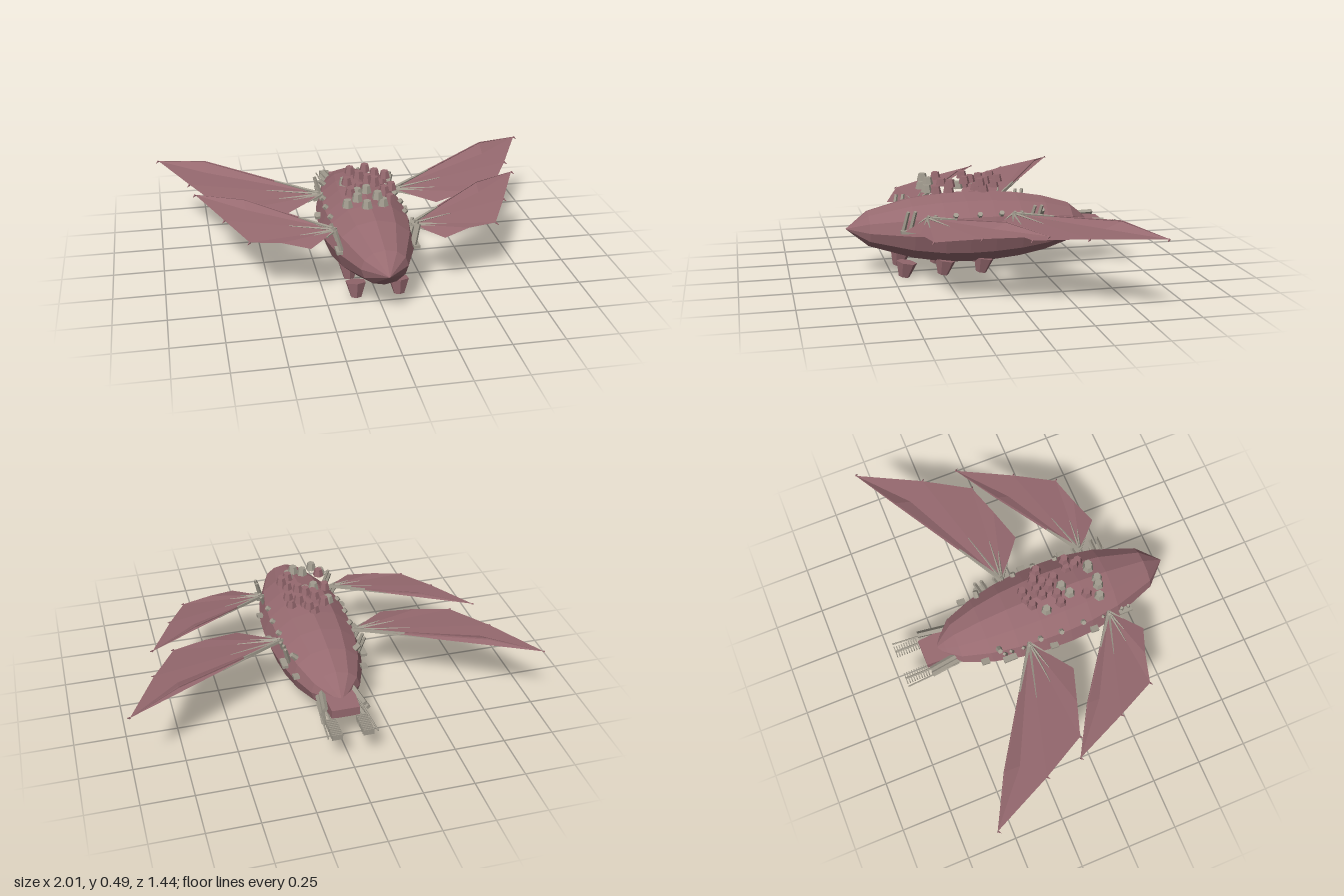
import * as THREE from 'three';

const hide = new THREE.MeshStandardMaterial({ color: 0x976a70, flatShading: true, side: THREE.DoubleSide });
hide.name = 'dusty rose';
const bone = new THREE.MeshStandardMaterial({ color: 0xa29c8f, flatShading: true });
bone.name = 'bone grey';

const V = (p) => new THREE.Vector3(...p);

function add(parent, name, geometry, material, pos = [0, 0, 0], rot = [0, 0, 0]) {
  const m = new THREE.Mesh(geometry, material);
  m.name = name;
  m.position.set(...pos);
  m.rotation.set(...rot);
  parent.add(m);
  return m;
}

// Tapered rod between two points
function rod(parent, name, a, b, r0, r1, material, sides = 5) {
  const from = V(a), dir = V(b).sub(from), len = dir.length();
  const m = add(parent, name, new THREE.CylinderGeometry(r1, r0, len, sides), material);
  m.position.copy(from).addScaledVector(dir, 0.5);
  m.quaternion.setFromUnitVectors(new THREE.Vector3(0, 1, 0), dir.normalize());
  return m;
}

// Fan of triangles around a root, wound to face up
function membrane(root, rim, s) {
  const pos = [];
  for (let i = 0; i < rim.length - 1; i++) {
    const tri = s > 0 ? [root, rim[i], rim[i + 1]] : [root, rim[i + 1], rim[i]];
    tri.forEach((p) => pos.push(p[0] * s, p[1], p[2]));
  }
  const g = new THREE.BufferGeometry();
  g.setAttribute('position', new THREE.Float32BufferAttribute(pos, 3));
  g.computeVertexNormals();
  return g;
}

// Wing outlines for the left side: forward edge, fingertips, tip, raised rear edge
const wings = [
  { name: 'frontWing', root: [0.18, 0.325, 0.34],
    rim: [[0.32, 0.3, 0.47], [0.45, 0.318, 0.42], [0.595, 0.315, 0.38], [0.695, 0.345, 0.18],
      [0.82, 0.373, -0.09]], inner: [0.585, 0.36, 0.11], peak: [0.59, 0.388, 0.045] },
  { name: 'rearWing', root: [0.18, 0.325, -0.09],
    rim: [[0.38, 0.303, 0.065], [0.55, 0.325, 0.01], [0.715, 0.33, -0.045], [0.84, 0.355, -0.27],
      [0.99, 0.375, -0.58]], inner: [0.745, 0.372, -0.37], peak: [0.75, 0.405, -0.45] },
];

function buildWing(w, s) {
  const g = new THREE.Group();
  g.name = w.name + (s > 0 ? 'Left' : 'Right');
  const mir = (p) => [p[0] * s, p[1], p[2]];
  const tip = w.rim[4];
  add(g, 'wingMembrane', membrane(w.root, [...w.rim, w.inner], s), hide);
  add(g, 'wingFold', membrane(w.peak, [w.root, w.inner, tip], s), hide);
  // finger bones fade into the membrane, each ending in a small claw
  w.rim.forEach((p, i) => {
    const end = V(w.root).lerp(V(p), 0.42).toArray();
    rod(g, 'fingerBone', mir(w.root), mir(end), 0.008, 0.002, bone, 4);
    if (i === 0 || i === 1) return;
    rod(g, 'claw', mir(p), mir([p[0] + 0.012, p[1] - 0.008, p[2] + 0.012]), 0.006, 0.001, hide, 4);
  });
  const lead = V(w.root).lerp(V(w.peak), 0.55).toArray();
  rod(g, 'leadingBone', mir(w.root), mir(lead), 0.011, 0.003, bone, 4);
  rod(g, 'leadingEdge', mir(w.root), mir(w.peak), 0.006, 0.004, hide, 4);
  rod(g, 'leadingEdgeTip', mir(w.peak), mir(tip), 0.004, 0.001, hide, 4);
  return g;
}

export function createModel() {
  const model = new THREE.Group();
  model.name = 'wingedAirship';

  // Twelve-sided hull, slightly flattened
  const profile = [[0, -0.53], [0.06, -0.48], [0.122, -0.42], [0.176, -0.28], [0.207, -0.14], [0.222, 0],
    [0.225, 0.13], [0.218, 0.25], [0.19, 0.4], [0.112, 0.61], [0, 0.72]];
  const hull = new THREE.LatheGeometry(profile.map((p) => new THREE.Vector2(...p)), 12);
  hull.rotateX(Math.PI / 2);
  const hp = hull.attributes.position;
  for (let i = 0; i < hp.count; i++) {
    const z = hp.getZ(i);
    hp.setY(i, hp.getY(i) * 0.79 + 0.23 + 0.035 * Math.max(0, z - 0.2));
  }
  hull.computeVertexNormals();
  add(model, 'hull', hull, hide);

  // Tail block, narrowing backwards
  const tail = new THREE.BoxGeometry(0.16, 0.075, 0.2);
  const tp = tail.attributes.position;
  for (let i = 0; i < tp.count; i++) {
    if (tp.getZ(i) < 0) tp.setXYZ(i, tp.getX(i) * 0.85, tp.getY(i) * 0.6, tp.getZ(i));
  }
  add(model, 'tailBlock', tail, hide, [0, 0.215, -0.495]);

  for (const s of [1, -1]) {
    wings.forEach((w) => model.add(buildWing(w, s)));

    // Belly pods
    for (const z of [0.44, 0.245, 0.05]) {
      add(model, 'bellyPod', new THREE.CylinderGeometry(0.052, 0.027, 0.075, 6), hide,
        [s * 0.105, 0.053, z], [-0.2, 0, 0]);
    }

    // Leaning struts at the wing roots
    for (const z of [0.43, 0.33, -0.1, -0.2]) {
      for (const d of [0, 0.035]) {
        rod(model, 'wingStrut', [s * 0.175, 0.27, z + d - 0.01], [s * 0.2, z > 0.4 || z < -0.15 ? 0.365 : 0.34, z + d - 0.03],
          0.011, 0.009, bone, 4);
      }
    }
    // Plates on the hull sides
    for (const [x, z] of [[0.185, 0.435], [0.219, 0.25], [0.222, 0.03], [0.2, -0.2], [0.17, -0.32]]) {
      const big = z > 0.4 || z === -0.2;
      add(model, 'sidePlate', new THREE.BoxGeometry(0.03, 0.015, big ? 0.07 : 0.04), bone,
        [s * x, 0.263, z], [big ? 0 : 0.2, 0, 0]);
    }
    // Small vents on the upper flanks
    for (const [x, z] of [[0.16, -0.24], [0.18, -0.03], [0.185, 0.08], [0.18, 0.2]]) {
      add(model, 'vent', new THREE.CylinderGeometry(0.013, 0.016, 0.035, 6), bone,
        [s * x, 0.325, z], [0, 0, -s * 0.8]);
    }

    // Tail beams
    for (const [x, y] of [[0.085, 0.245], [0.1, 0.22], [0.09, 0.165]]) {
      rod(model, 'tailBeam', [s * (x - 0.012), y, -0.42], [s * (x + 0.012), y, -0.585], 0.015, 0.013, bone, 4);
    }
    rod(model, 'tailSpine', [s * 0.1, 0.18, -0.44], [s * 0.12, 0.182, -0.72], 0.005, 0.004, bone);
    rod(model, 'combShaft', [s * 0.075, 0.18, -0.44], [s * 0.075, 0.182, -0.72], 0.007, 0.006, bone);
    // Comb teeth along the shaft
    for (let i = 0; i < 10; i++) {
      add(model, 'combTooth', new THREE.BoxGeometry(0.052, 0.03, 0.005), bone,
        [s * 0.075, 0.181, -0.6 - i * 0.013]);
    }
  }

  // Hovering cluster of hexagonal buds: x, z, height level, colour
  const buds = [[-0.05, -0.02, 1, 0], [0.03, -0.04, 1, 0], [0, -0.03, 0, 0], [-0.09, 0.04, 0, 1], [-0.09, 0.115, 1, 0],
    [-0.03, 0.12, 0, 0], [-0.02, 0.045, 1, 0], [0.03, 0.035, 0, 0], [0.065, 0.03, 1, 0], [0.1, 0.045, 0, 0],
    [0.055, 0.075, 0, 0], [0.11, 0.065, 1, 0], [0.08, 0.215, 0, 0], [0.11, 0.215, 1, 0], [0.07, 0.25, 1, 0],
    [-0.095, 0.25, 1, 0], [0, 0.155, 0, 1], [-0.05, 0.18, 0, 1], [0.045, 0.13, 1, 0], [-0.12, 0.31, 0, 1],
    [-0.075, 0.32, 1, 1], [-0.03, 0.335, 0, 1], [0.025, 0.31, 1, 1], [0.05, 0.32, 0, 1], [0.09, 0.28, 0, 0],
    [0.015, 0.095, 1, 0]];
  buds.forEach(([x, z, level, grey]) => {
    add(model, 'bud', new THREE.CylinderGeometry(0.019, 0.028, 0.036, 6), grey ? bone : hide,
      [x, level ? 0.478 : 0.445, z]);
  });
  return model;
}
